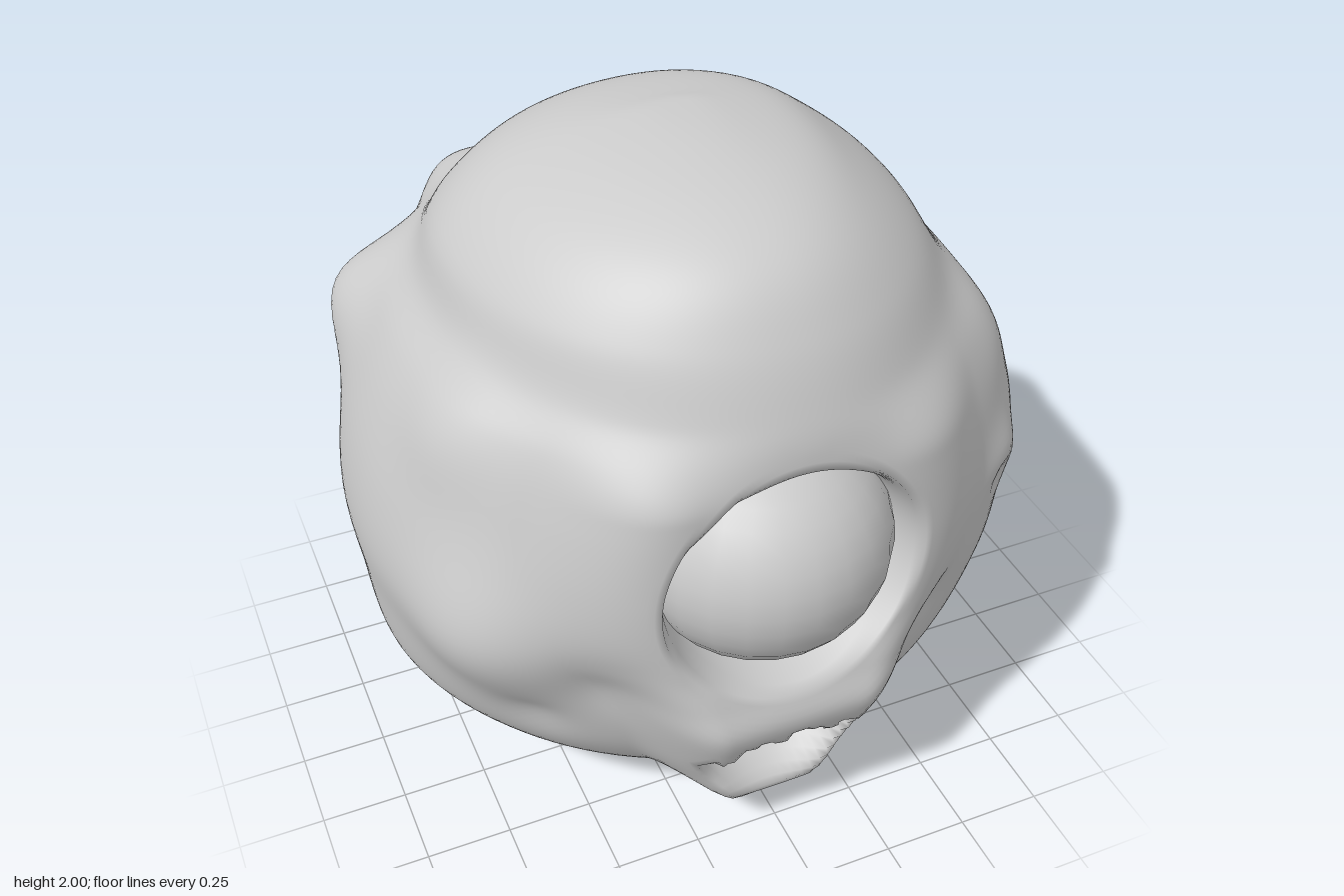
import * as THREE from 'three';
import { mergeVertices } from 'three/addons/utils/BufferGeometryUtils.js';

const EYE = new THREE.Vector3(-0.035, 1.055, 0.64);
const smooth = THREE.MathUtils.smoothstep;
const lerp = THREE.MathUtils.lerp;
const clamp = THREE.MathUtils.clamp;

// Height to polar angle, so the body closes roundly at top and bottom
const polar = (y) => Math.acos(1 - clamp(y, 0, 2));

// Body cross-sections: height, reach to -x, +x, -z, +z
const SECTIONS = [
  [0, 0.03, 0.03, 0.03, 0.03], [0.03, 0.26, 0.28, 0.3, 0.28], [0.08, 0.43, 0.39, 0.47, 0.4],
  [0.13, 0.6, 0.46, 0.57, 0.57], [0.2, 0.71, 0.56, 0.71, 0.65], [0.3, 0.83, 0.7, 0.81, 0.72],
  [0.45, 0.93, 0.85, 0.92, 0.79], [0.7, 0.97, 0.95, 0.96, 0.84], [0.9, 0.99, 0.97, 0.98, 0.86],
  [1.1, 0.96, 0.97, 0.98, 0.86], [1.3, 0.89, 0.89, 0.94, 0.86], [1.45, 0.81, 0.79, 0.87, 0.86],
  [1.56, 0.72, 0.7, 0.78, 0.83], [1.72, 0.66, 0.6, 0.6, 0.76], [1.87, 0.51, 0.43, 0.44, 0.64],
  [1.95, 0.33, 0.3, 0.28, 0.47], [1.99, 0.15, 0.13, 0.08, 0.24], [2, 0.03, 0.03, 0.03, 0.03],
].map(([y, ...reaches]) => [polar(y), ...reaches]);

// Lumps and pits: centre x, y, z, radius, height (negative sinks in)
const LUMPS = [
  [0.8, 1.42, -0.3, 0.24, 0.07], [-0.36, 1.4, -0.8, 0.24, 0.11], [-0.8, 1.32, -0.5, 0.26, 0.11],
  [0.41, 1.36, -0.78, 0.22, 0.08], [-0.78, 0.86, 0.54, 0.34, 0.07], [-0.78, 1.4, 0.35, 0.25, 0.03],
  [0.74, 1.05, 0.62, 0.16, 0.03], [0.72, 1.0, 0.64, 0.07, -0.02], [0.7, 1.4, 0.42, 0.25, 0.03],
  [0.93, 0.84, -0.2, 0.2, 0.03], [0.94, 0.72, -0.13, 0.09, -0.05], [0.88, 0.74, -0.33, 0.08, -0.05],
  [-0.8, 1.18, -0.53, 0.12, -0.04], [-0.36, 1.26, -0.86, 0.12, -0.03], [0.12, 0.48, -0.9, 0.14, -0.05],
  [0.25, 0.65, -0.92, 0.25, 0.03], [-0.47, 0.75, 0.75, 0.2, -0.04], [0.42, 0.7, 0.75, 0.2, -0.03],
  [0.45, 0.2, 0.38, 0.1, -0.03], [-0.72, 0.5, 0.62, 0.16, -0.04], [-0.02, 1.05, -0.97, 0.25, 0.02],
];

// Snout by height: front position and half-width
const SNOUT = [
  [0.1, 0.6, 0.07], [0.14, 0.74, 0.13], [0.2, 0.8, 0.19], [0.32, 0.82, 0.25], [0.47, 0.89, 0.28],
  [0.6, 0.935, 0.31], [0.7, 0.91, 0.35], [0.82, 0.88, 0.41], [1.1, 0.87, 0.46], [1.4, 0.865, 0.42], [1.55, 0.84, 0.38],
];

// Smooth interpolation of one column in a table keyed by its first column
function lookup(table, key, col) {
  const last = table.length - 1;
  let i = 0;
  while (i < last - 1 && key > table[i + 1][0]) i++;
  const slope = (j) => {
    const a = table[Math.max(j - 1, 0)], b = table[Math.min(j + 1, last)];
    return (b[col] - a[col]) / (b[0] - a[0]);
  };
  const [a, b] = [table[i], table[i + 1]];
  const w = b[0] - a[0], t = clamp((key - a[0]) / w, 0, 1), u = 1 - t;
  return a[col] * u * u * (1 + 2 * t) + b[col] * t * t * (1 + 2 * u)
    + w * t * u * (slope(i) * u - slope(i + 1) * t);
}

// Squareness of a section quadrant: round cap, flattened back-left corner
function squareness(x, y, z) {
  let low, mid;
  if (z > 0) [low, mid] = x > 0 ? [2.15, 2.2] : [1.9, 2.15];
  else [low, mid] = x > 0 ? [1.65, 1.8] : [2.05, 2.12];
  return lerp(lerp(low, mid, smooth(y, 0.4, 0.9)), 2.07, smooth(y, 1.25, 1.6));
}

function inside(x, y, z) {
  if (y < 0 || y > 2) return false;
  const key = polar(y), power = squareness(x, y, z);
  const a = Math.abs(x) / Math.max(0.01, lookup(SECTIONS, key, x < 0 ? 1 : 2));
  const b = Math.abs(z) / Math.max(0.01, lookup(SECTIONS, key, z < 0 ? 3 : 4));
  return a ** power + b ** power < 1;
}

function shapeFace(p) {
  if (p.z < 0.3) return;
  const dx = p.x - EYE.x;
  // Raised snout running from brow to lower lip
  if (p.y > 0.1 && p.y < 1.55) {
    const half = lookup(SNOUT, p.y, 2);
    const w = (1 - smooth(Math.abs(dx), half * 0.65, half * 1.45))
      * smooth(p.y, 0.1, 0.14) * (1 - smooth(p.y, 1.35, 1.55));
    p.z = lerp(p.z, Math.max(p.z, lookup(SNOUT, p.y, 1)), w);
  }
  // Eye socket
  const d = Math.hypot(dx, (p.y - EYE.y) / 0.94);
  p.z = lerp(0.68, p.z, smooth(d, 0.31, 0.375));
  // Mouth hollow with a ragged upper edge and sloping floor
  const rag = 0.022 * Math.sin(dx * 42) + 0.012 * Math.sin(dx * 83 + 1);
  const top = 0.5 + rag - 1.3 * dx * dx;
  const bottom = 0.2 + 3 * dx * dx;
  const m = smooth(p.y, bottom - 0.02, bottom + 0.1) * (1 - smooth(p.y, top - 0.03, top + 0.02))
    * (1 - smooth(Math.abs(dx), 0.16, 0.27));
  p.z = lerp(p.z, 0.75 - (p.y - 0.2) * 0.7, m);
}

function buildBody() {
  // Rings run around the eye axis
  const sphere = new THREE.SphereGeometry(1, 180, 130).rotateX(Math.PI / 2);
  sphere.deleteAttribute('uv');
  sphere.deleteAttribute('normal');
  const geo = mergeVertices(sphere, 1e-5);
  const pos = geo.attributes.position;
  const dir = new THREE.Vector3(), p = new THREE.Vector3(), c = new THREE.Vector3();
  for (let i = 0; i < pos.count; i++) {
    dir.fromBufferAttribute(pos, i).normalize();
    // Find where the ray from the core leaves the sections
    let lo = 0, hi = 1.5;
    for (let k = 0; k < 22; k++) {
      const r = (lo + hi) / 2;
      if (inside(EYE.x + dir.x * r, EYE.y + dir.y * r, dir.z * r)) lo = r; else hi = r;
    }
    p.set(EYE.x, EYE.y, 0).addScaledVector(dir, lo);
    let push = 0;
    for (const [x, y, z, radius, height] of LUMPS) {
      const t = p.distanceTo(c.set(x, y, z)) / radius;
      push += height * Math.exp(-2.2 * t * t);
    }
    p.addScaledVector(dir, push);
    shapeFace(p);
    pos.setXYZ(i, p.x, p.y, p.z);
  }
  geo.computeVertexNormals();
  return geo;
}

export function createModel() {
  const group = new THREE.Group();
  const material = new THREE.MeshStandardMaterial({ color: 0xcccccc });

  // Lumpy body with face
  const body = new THREE.Mesh(buildBody(), material);
  body.name = 'body';

  // Single eye, slightly flattened
  const eye = new THREE.Mesh(new THREE.SphereGeometry(0.36, 24, 18), material);
  eye.name = 'eyeball';
  eye.position.copy(EYE);
  eye.scale.y = 0.94;

  group.add(body, eye);
  return group;
}
